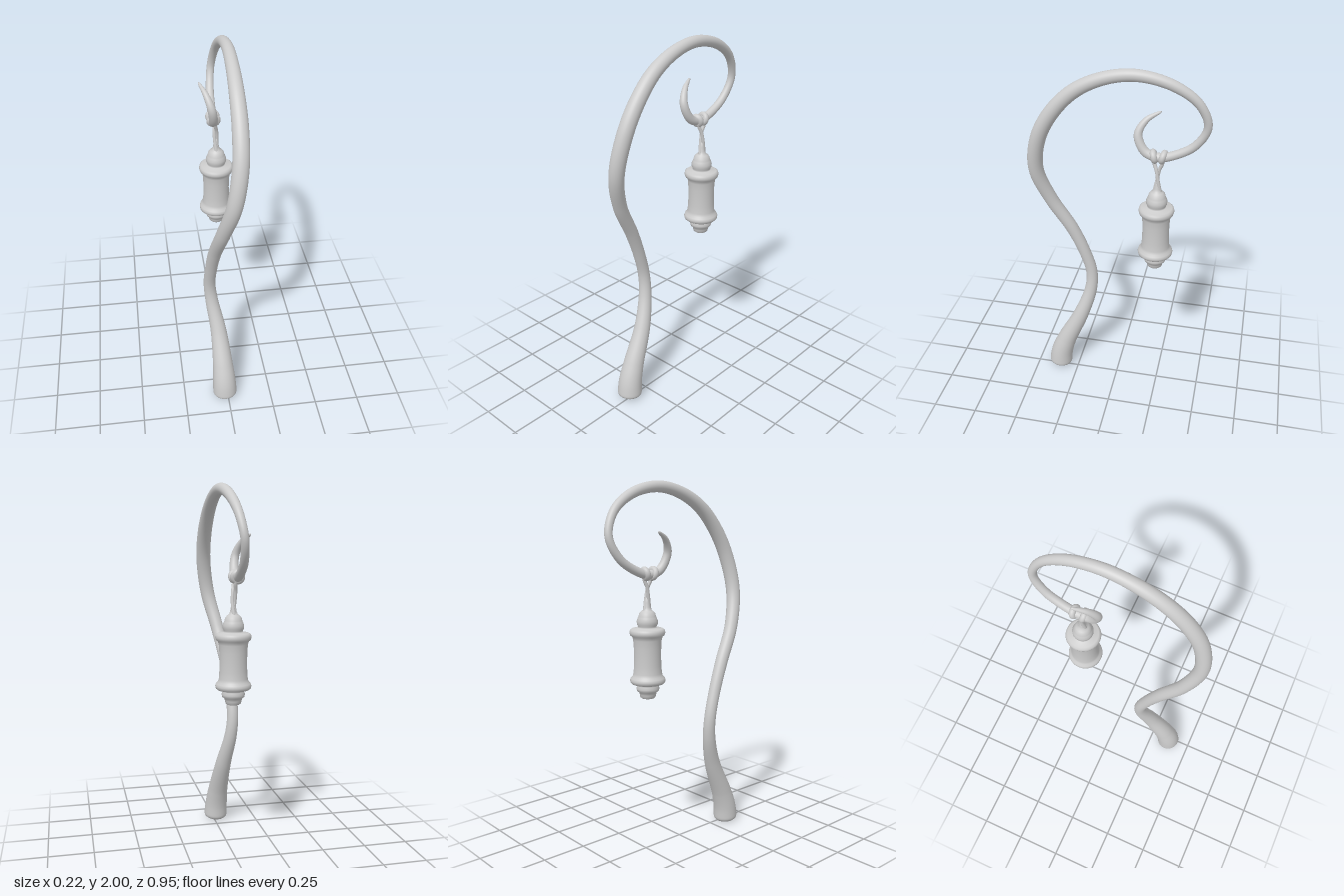
import * as THREE from 'three';
import { mergeVertices } from 'three/addons/utils/BufferGeometryUtils.js';

const material = new THREE.MeshStandardMaterial({ color: 0xcccccc });
const vec = (p) => new THREE.Vector3(p[0], p[1], p[2]);

function part(name, geometry) {
  const mesh = new THREE.Mesh(geometry, material);
  mesh.name = name;
  return mesh;
}

// Tube through [x, y, z, radius] points, with both ends rounded over the length "round"
function taperedTube(points, segments, sides, round) {
  const curve = new THREE.CatmullRomCurve3(points.map(vec));
  curve.arcLengthDivisions = 1000;
  const radii = new THREE.SplineCurve(points.map((p, i) => new THREE.Vector2(i, p[3])));
  const length = curve.getLength();
  let geo = new THREE.TubeGeometry(curve, segments, 1, sides, false);
  const pos = geo.attributes.position;
  const v = new THREE.Vector3();
  for (let i = 0; i <= segments; i++) {
    const u = i / segments;
    const centre = curve.getPointAt(u);
    const d = Math.min(1, (Math.min(u, 1 - u) * length) / round);
    const r = radii.getPoint(curve.getUtoTmapping(u)).y * Math.cbrt(1 - (1 - d) ** 3);
    for (let j = 0; j <= sides; j++) {
      const k = i * (sides + 1) + j;
      v.fromBufferAttribute(pos, k).sub(centre).multiplyScalar(r).add(centre);
      pos.setXYZ(k, v.x, v.y, v.z);
    }
  }
  geo.deleteAttribute('uv');
  geo.deleteAttribute('normal');
  geo = mergeVertices(geo, 1e-5);
  geo.computeVertexNormals();
  return geo;
}

// Curved staff: thick foot, S-shaped stem, big hook and curled tip
const STAFF = [
  [-0.015, 0.005, 0.365, 0.070],
  [-0.018, 0.10, 0.353, 0.066],
  [-0.022, 0.20, 0.320, 0.058],
  [-0.037, 0.40, 0.228, 0.045],
  [-0.067, 0.58, 0.170, 0.036],
  [-0.078, 0.70, 0.166, 0.033],
  [-0.073, 0.84, 0.203, 0.033],
  [-0.060, 1.00, 0.268, 0.035],
  [-0.030, 1.20, 0.375, 0.037],
  [0.015, 1.40, 0.433, 0.040],
  [0.045, 1.60, 0.400, 0.041],
  [0.053, 1.75, 0.318, 0.040],
  [0.053, 1.87, 0.200, 0.037],
  [0.053, 1.945, 0.050, 0.033],
  [0.052, 1.970, -0.110, 0.030],
  [0.045, 1.930, -0.285, 0.027],
  [0.030, 1.840, -0.410, 0.023],
  [0.012, 1.720, -0.456, 0.021],
  [0.000, 1.610, -0.400, 0.022],
  [-0.005, 1.545, -0.300, 0.023],
  [-0.008, 1.522, -0.215, 0.024],
  [-0.012, 1.545, -0.145, 0.024],
  [-0.025, 1.630, -0.105, 0.022],
  [-0.050, 1.700, -0.140, 0.016],
  [-0.082, 1.743, -0.215, 0.007],
];

// Lantern silhouette as [radius, y]
const LANTERN = [
  [0, 0.862], [0.034, 0.862], [0.041, 0.868], [0.044, 0.882], [0.047, 0.894],
  [0.058, 0.902], [0.062, 0.916], [0.057, 0.930], [0.056, 0.940],
  [0.084, 0.942], [0.093, 0.950], [0.095, 0.962], [0.091, 0.974], [0.081, 0.984],
  [0.076, 1.000], [0.073, 1.040], [0.072, 1.090], [0.073, 1.140], [0.076, 1.180],
  [0.081, 1.197], [0.091, 1.204], [0.095, 1.218], [0.092, 1.232], [0.082, 1.239],
  [0.050, 1.243], [0.049, 1.252], [0.055, 1.262], [0.056, 1.280], [0.050, 1.296],
  [0.046, 1.304], [0.043, 1.318], [0.033, 1.330], [0.022, 1.338], [0.017, 1.352],
  [0.013, 1.375], [0.009, 1.400], [0, 1.405],
];

export function createModel() {
  const group = new THREE.Group();
  group.add(part('staff', taperedTube(STAFF, 420, 32, 0.035)));

  const lantern = part('lantern',
    new THREE.LatheGeometry(LANTERN.map(([r, y]) => new THREE.Vector2(r, y)), 48));
  lantern.position.set(0.01, 0, -0.217);
  group.add(lantern);

  // Two loops of cord around the hook, each with a strand down to the lantern
  for (const side of [-1, 1]) {
    const z = -0.216 + side * 0.024;
    const loop = part('cordLoop', new THREE.TorusGeometry(0.022, 0.017, 16, 32));
    loop.position.set(-0.006, 1.527, z);
    loop.rotation.y = side * 0.12;
    loop.rotation.x = side * 0.25;
    group.add(loop);

    const strand = [
      [0.004, 1.525, z + side * 0.004, 0.010],
      [0.004, 1.492, -0.217 + side * 0.020, 0.010],
      [0.006 + side * 0.006, 1.455, -0.217 + side * 0.007, 0.009],
      [0.009 + side * 0.007, 1.400, -0.217 - side * 0.003, 0.009],
      [0.010 + side * 0.004, 1.365, -0.217 - side * 0.009, 0.010],
      [0.010, 1.325, -0.217 - side * 0.016, 0.011],
    ];
    group.add(part('hangingStrand', taperedTube(strand, 48, 14, 0.01)));
  }
  return group;
}
